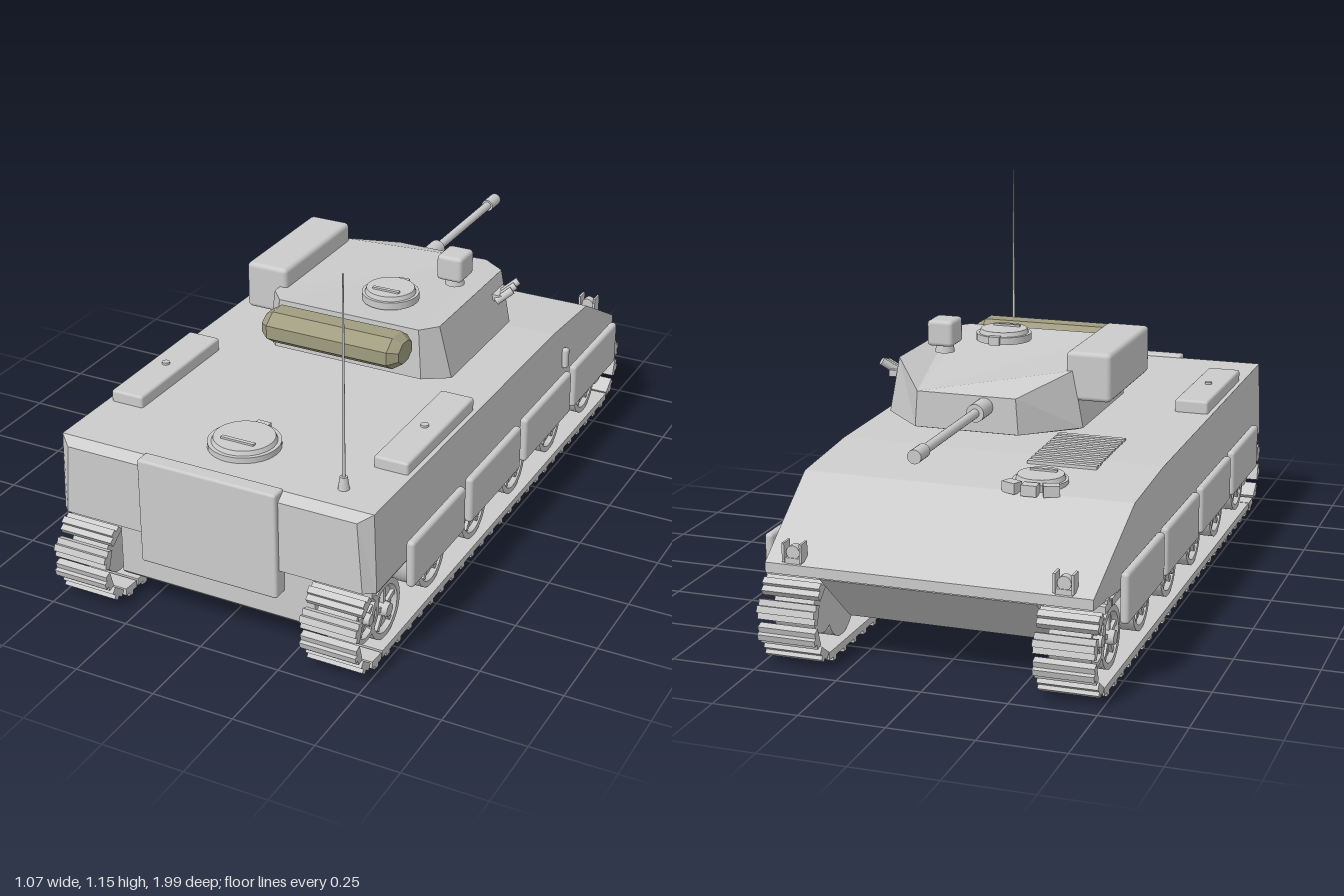
import * as THREE from 'three';
import { RoundedBoxGeometry } from 'three/addons/geometries/RoundedBoxGeometry.js';

const grey = new THREE.MeshStandardMaterial({ color: 0xcccccc });
const olive = new THREE.MeshStandardMaterial({ color: 0xa09c80 });

function add(parent, name, geo, x = 0, y = 0, z = 0, mat = grey) {
  const m = new THREE.Mesh(geo, mat);
  m.name = name;
  m.position.set(x, y, z);
  parent.add(m);
  return m;
}
function group(parent, name, x = 0, y = 0, z = 0) {
  const g = new THREE.Group();
  g.name = name;
  g.position.set(x, y, z);
  parent.add(g);
  return g;
}
const box = (w, h, d) => new THREE.BoxGeometry(w, h, d);
const cyl = (r1, r2, h, n = 24) => new THREE.CylinderGeometry(r1, r2, h, n);

// Bevelled box given by its two limits along each axis
function slab(parent, name, x, y, z, r) {
  const mid = (a) => (a[0] + a[1]) / 2, len = (a) => Math.abs(a[1] - a[0]);
  const geo = new RoundedBoxGeometry(len(x), len(y), len(z), 2, r);
  return add(parent, name, geo, mid(x), mid(y), mid(z));
}

// Flat-shaded closed solid skinned over rings of [x, y, z] points
function loft(rings) {
  const tris = [], n = rings[0].length, last = rings[rings.length - 1];
  for (let i = 0; i < rings.length - 1; i++) {
    for (let j = 0; j < n; j++) {
      const k = (j + 1) % n, a = rings[i], b = rings[i + 1];
      tris.push([a[j], a[k], b[k]], [a[j], b[k], b[j]]);
    }
  }
  for (let j = 1; j < n - 1; j++) {
    tris.push([rings[0][0], rings[0][j + 1], rings[0][j]], [last[0], last[j], last[j + 1]]);
  }
  // Turn the faces outwards if the enclosed volume is negative
  const v = (p) => new THREE.Vector3(...p);
  const volume = tris.reduce((s, t) => s + v(t[0]).dot(v(t[1]).cross(v(t[2]))), 0);
  if (volume < 0) tris.forEach((t) => t.reverse());
  const geo = new THREE.BufferGeometry();
  geo.setAttribute('position', new THREE.Float32BufferAttribute(tris.flat(2), 3));
  geo.computeVertexNormals();
  return geo;
}

// Cross-section of the hull: z, half width and height at top, then at bottom
const section = ([z, wt, yt, wb, yb]) => [[-wt, yt, z], [wt, yt, z], [wb, yb, z], [-wb, yb, z]];

function hatch(parent, name, x, y, z, r, h) {
  const g = group(parent, name, x, y, z);
  add(g, 'hatchRing', cyl(r, r, h * 0.6, 32), 0, h * 0.3, 0);
  add(g, 'hatchLid', cyl(r * 0.84, r * 0.9, h * 0.4, 32), 0, h * 0.75, 0);
  add(g, 'hatchHandle', box(r, 0.008, 0.012), 0, h, r * 0.35);
  add(g, 'hatchHinge', box(r * 0.4, h * 0.7, 0.02), 0, h * 0.35, -r);
  return g;
}

// Wheel with a recessed, ribbed face pointing outwards on the given side
function wheel(parent, name, r, side, y, z) {
  const g = group(parent, name, side * 0.402, y, z);
  if (side < 0) g.rotation.y = Math.PI;
  const profile = [[0, -0.06], [r, -0.06], [r, 0.06], [r * 0.8, 0.06], [r * 0.72, 0.045], [0, 0.045]]
    .map(([a, b]) => new THREE.Vector2(a, b));
  // Each straight run of the profile is its own lathe, so edges stay sharp
  for (let i = 0; i < profile.length - 1; i++) {
    add(g, 'wheelDisc', new THREE.LatheGeometry([profile[i], profile[i + 1]], 28)).rotation.z = -Math.PI / 2;
  }
  add(g, 'wheelHub', cyl(r * 0.22, r * 0.27, 0.03, 16), 0.058).rotation.z = -Math.PI / 2;
  for (let i = 0; i < 5; i++) {
    const a = (i / 5) * Math.PI * 2, d = r * 0.47;
    add(g, 'wheelRib', box(0.014, r * 0.55, r * 0.16), 0.049, Math.cos(a) * d, Math.sin(a) * d).rotation.x = a;
  }
}

// Position [z, y] and heading at distance s round the stadium-shaped track path
function trackPoint(s, half, r) {
  const straight = 2 * half, arc = Math.PI * r;
  if (s < straight) return [-half + s, -r, 0];
  s -= straight;
  if (s < arc) return [half + Math.sin(s / r) * r, -Math.cos(s / r) * r, s / r];
  s -= arc;
  if (s < straight) return [half - s, r, Math.PI];
  s -= straight;
  return [-half - Math.sin(s / r) * r, Math.cos(s / r) * r, Math.PI + s / r];
}

function buildRunningGear(parent, side) {
  const g = group(parent, side > 0 ? 'leftRunningGear' : 'rightRunningGear');
  const half = 0.86, r = 0.116, count = 58;
  const total = 4 * half + 2 * Math.PI * r;
  for (let i = 0; i < count; i++) {
    const [z, y, a] = trackPoint((i / count) * total, half, r);
    const link = group(g, 'trackLink', side * 0.402, 0.139 + y, z);
    link.rotation.x = -a;
    add(link, 'linkPlate', box(0.173, 0.022, Math.abs(z) > half ? 0.056 : 0.073));
    add(link, 'linkCleat', box(0.173, 0.012, 0.02), 0, -0.017, 0);
  }
  [0.758, 0.458, 0.158, -0.142, -0.442, -0.748].forEach((z) => wheel(g, 'roadWheel', 0.09, side, 0.123, z));
  wheel(g, 'idler', 0.072, side, 0.157, 0.872);
  wheel(g, 'sprocket', 0.072, side, 0.155, -0.868);
  // Side skirt panels
  [[0.385, 0.735], [-0.022, 0.345], [-0.43, -0.06], [-0.835, -0.46]]
    .forEach((z) => slab(g, 'skirtPanel', [side * 0.51, side * 0.536], [0.196, 0.343], z, 0.011));
}

function buildHull(root) {
  const g = group(root, 'hull');
  add(g, 'upperHull', loft([
    [0.93, 0.46, 0.492, 0.476, 0.275], [0.9, 0.497, 0.513, 0.505, 0.27], [-0.35, 0.497, 0.5, 0.505, 0.27],
    [-0.64, 0.495, 0.478, 0.505, 0.27], [-0.957, 0.475, 0.305, 0.475, 0.275],
  ].map(section)));
  add(g, 'lowerHull', loft([
    [0.9, 0.315, 0.29, 0.315, 0.105], [0.89, 0.315, 0.29, 0.315, 0.094],
    [-0.75, 0.315, 0.29, 0.315, 0.094], [-0.95, 0.315, 0.29, 0.315, 0.27],
  ].map(section)));
  slab(g, 'rearDoor', [-0.22, 0.22], [0.19, 0.52], [0.895, 0.946], 0.008);
  for (const s of [-1, 1]) {
    slab(g, 'stowageBox', [s * 0.377, s * 0.483], [0.5, 0.546], [0.226, 0.668], 0.008);
    add(g, 'boxCatch', cyl(0.012, 0.012, 0.01, 12), s * 0.43, 0.548, 0.45);
    // Headlight in a guard
    const lamp = group(g, 'headlight', s * 0.392, 0.34, -0.94);
    add(lamp, 'lampBody', cyl(0.02, 0.02, 0.025, 16)).rotation.x = Math.PI / 2;
    add(lamp, 'lampFoot', box(0.05, 0.016, 0.03), 0, -0.024, 0);
    for (const t of [-1, 1]) add(lamp, 'lampGuard', box(0.007, 0.055, 0.04), t * 0.026, 0, 0);
  }
  slab(g, 'sideHandle', [0.495, 0.518], [0.348, 0.416], [-0.449, -0.425], 0.008);
  hatch(g, 'rearHatch', 0, 0.508, 0.725, 0.106, 0.036);
  const driver = hatch(g, 'driverHatch', -0.195, 0.474, -0.555, 0.08, 0.038);
  for (const t of [-1, 0, 1]) {
    add(driver, 'periscope', box(0.046, 0.032, 0.034), t * 0.058, 0.016, -0.094 + Math.abs(t) * 0.012)
      .rotation.y = -t * 0.4;
  }
  // Engine grille
  for (let i = 0; i < 9; i++) {
    add(g, 'grilleSlat', box(0.21, 0.016, 0.02), -0.215, 0.496 + i * 0.0006, -0.415 + i * 0.035);
  }
  // Whip antenna
  add(g, 'antennaBase', cyl(0.011, 0.017, 0.04, 16), 0.36, 0.53, 0.812);
  add(g, 'antenna', cyl(0.0025, 0.005, 0.62, 8), 0.36, 0.842, 0.812);
}

function buildTurret(root) {
  const g = group(root, 'turret');
  const cx = 0.082;
  // Plan outline of one half, mirrored about the turret's centreline
  const outline = (pts) => [
    ...pts.map(([x, y, z]) => [cx + x, y, z]),
    ...pts.slice().reverse().map(([x, y, z]) => [cx - x, y, z]),
  ];
  add(g, 'turretShell', loft([
    outline([[0.15, 0.565, -0.39], [0.29, 0.56, -0.25], [0.295, 0.56, 0.17], [0.235, 0.56, 0.2]]),
    outline([[0.16, 0.572, -0.412], [0.306, 0.565, -0.25], [0.306, 0.565, 0.18], [0.243, 0.582, 0.258]]),
    outline([[0.152, 0.68, -0.412], [0.274, 0.735, -0.248], [0.274, 0.735, 0.2], [0.23, 0.735, 0.25]]),
  ]));
  // Gun
  const gun = group(g, 'gun', 0.026, 0.649, 0);
  for (const [name, r, z0, z1] of [['gunSleeve', 0.027, -0.39, -0.49], ['gunBarrel', 0.0135, -0.48, -0.92],
    ['muzzleBrake', 0.02, -0.89, -0.957]]) {
    add(gun, name, cyl(r, r, z0 - z1, 20), 0, 0, (z0 + z1) / 2).rotation.x = Math.PI / 2;
  }
  slab(g, 'launcherBox', [-0.307, -0.17], [0.645, 0.792], [-0.25, 0.168], 0.014);
  // Rolled stowage behind the turret, eight-sided with tapered ends
  const oct = (x, s) => Array.from({ length: 8 }, (_, i) => {
    const a = ((i + 0.5) / 8) * Math.PI * 2;
    return [x, 0.695 + Math.sin(a) * 0.053 * s, 0.322 + Math.cos(a) * 0.074 * s];
  });
  add(g, 'stowageRoll', loft([oct(-0.143, 0.65), oct(-0.115, 1), oct(0.277, 1), oct(0.305, 0.65)]), 0, 0, 0, olive);
  hatch(g, 'commanderHatch', 0.14, 0.733, 0.085, 0.086, 0.038);
  slab(g, 'sightHead', [0.222, 0.304], [0.752, 0.832], [-0.155, -0.06], 0.012);
  add(g, 'sightMount', cyl(0.025, 0.03, 0.03, 16), 0.263, 0.743, -0.108);
  // Smoke launchers on the left cheek
  const smoke = group(g, 'smokeLaunchers', 0.392, 0.692, -0.2);
  add(smoke, 'launcherBracket', box(0.04, 0.02, 0.08), -0.018, -0.012, 0);
  const aim = new THREE.Vector3(0.7, 0.6, -0.5).normalize();
  for (let i = -1; i <= 1; i++) {
    add(smoke, 'launcherTube', cyl(0.012, 0.012, 0.06, 12), 0.006, -i * 0.006, i * 0.024)
      .quaternion.setFromUnitVectors(new THREE.Vector3(0, 1, 0), aim);
  }
}

export function createModel() {
  const root = new THREE.Group();
  root.name = 'trackedVehicle';
  buildHull(root);
  buildRunningGear(root, 1);
  buildRunningGear(root, -1);
  buildTurret(root);
  return root;
}
